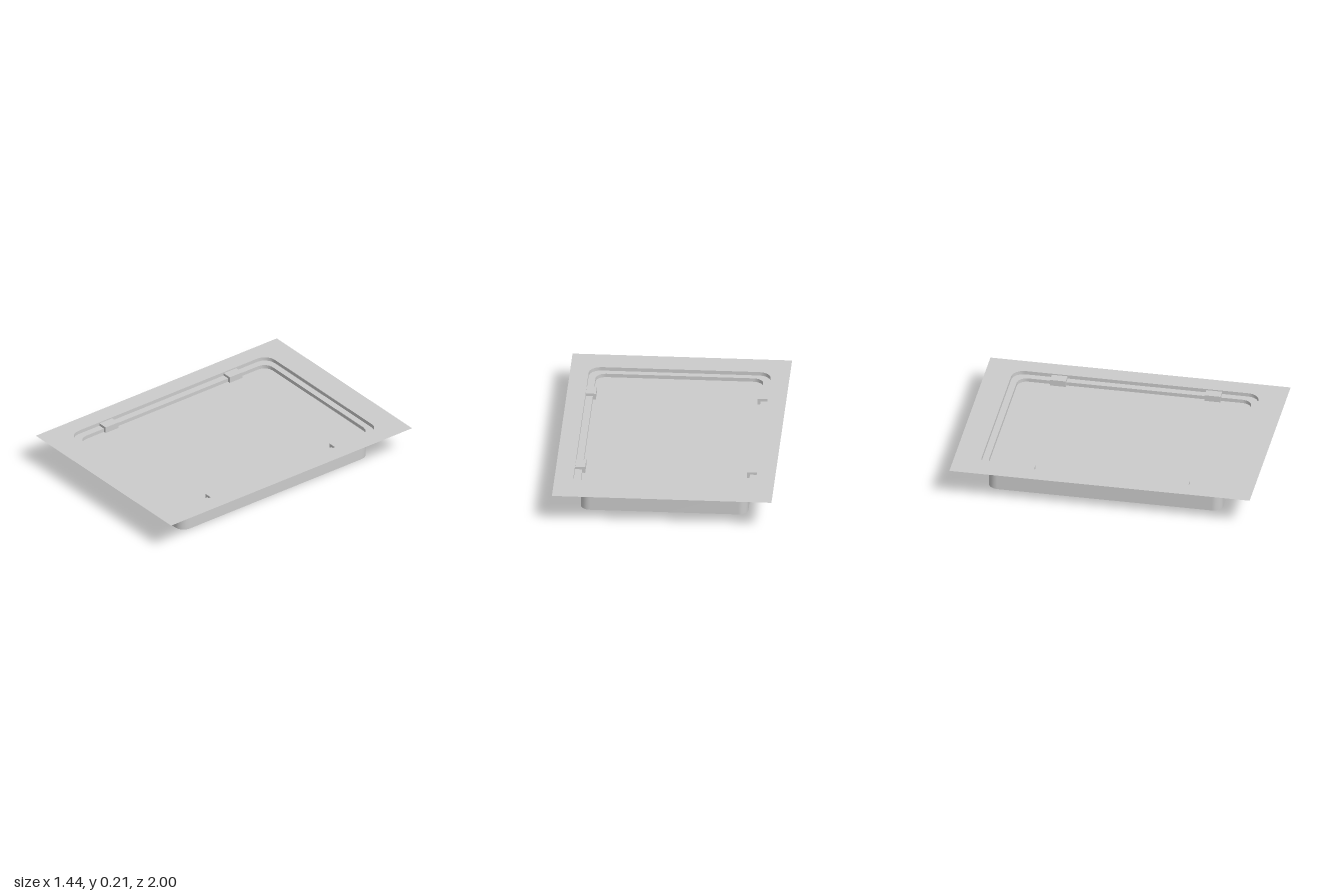
import * as THREE from 'three';

const material = new THREE.MeshStandardMaterial({ color: 0xcccccc, side: THREE.DoubleSide });

const TOP = 0.21, SHELF = 0.185, FLOOR = 0.16;

// Rounded rectangle outline, counter-clockwise, centred on the origin
function outline(halfW, halfD, r, segments = 4) {
  const points = [];
  const corners = [[1, 1], [-1, 1], [-1, -1], [1, -1]];
  corners.forEach(([sx, sy], c) => {
    for (let i = 0; i <= segments; i++) {
      const a = (c + i / segments) * Math.PI / 2;
      points.push(new THREE.Vector2(
        sx * (halfW - r) + r * Math.cos(a),
        sy * (halfD - r) + r * Math.sin(a)));
    }
  });
  return points;
}

// Flat horizontal sheet, optionally with an opening
function sheet(points, y, hole) {
  const shape = new THREE.Shape(points);
  if (hole) shape.holes.push(new THREE.Path(hole));
  return new THREE.ShapeGeometry(shape).rotateX(-Math.PI / 2).translate(0, y, 0);
}

// Thin upright band following an outline
function band(points, y0, y1) {
  const n = points.length, positions = [], index = [];
  for (const y of [y0, y1]) for (const p of points) positions.push(p.x, y, -p.y);
  for (let i = 0; i < n; i++) {
    const j = (i + 1) % n;
    index.push(i, j, n + j, i, n + j, n + i);
  }
  const geometry = new THREE.BufferGeometry();
  geometry.setAttribute('position', new THREE.Float32BufferAttribute(positions, 3));
  geometry.setIndex(index);
  geometry.computeVertexNormals();
  return geometry;
}

export function createModel() {
  const group = new THREE.Group();
  const add = (name, geometry) => {
    const mesh = new THREE.Mesh(geometry, material);
    mesh.name = name;
    group.add(mesh);
    return mesh;
  };

  const border = [[0.72, 1], [-0.72, 1], [-0.72, -1], [0.72, -1]].map(p => new THREE.Vector2(...p));
  const rim = outline(0.597, 0.823, 0.08);
  const tray = outline(0.55, 0.78, 0.065);

  // Surrounding surface with its opening
  add('surroundingSheet', sheet(border, TOP, rim));

  // Stepped rim dropping to a shelf
  add('rimEdge', band(rim, SHELF, TOP));
  add('rimShelf', sheet(rim, SHELF, tray));

  // Tray wall running past the recessed panel to the ground
  add('trayWall', band(tray, 0, SHELF));
  add('recessedPanel', sheet(tray, FLOOR));

  // Clips along both long sides
  for (const [side, sx] of [['left', 1], ['right', -1]]) {
    for (const [end, sz] of [['Front', 1], ['Back', -1]]) {
      add(`${side}${end}Clip`, new THREE.BoxGeometry(0.07, 0.047, 0.105))
        .position.set(sx * 0.566, 0.1785, sz * 0.515);
    }
  }
  return group;
}
